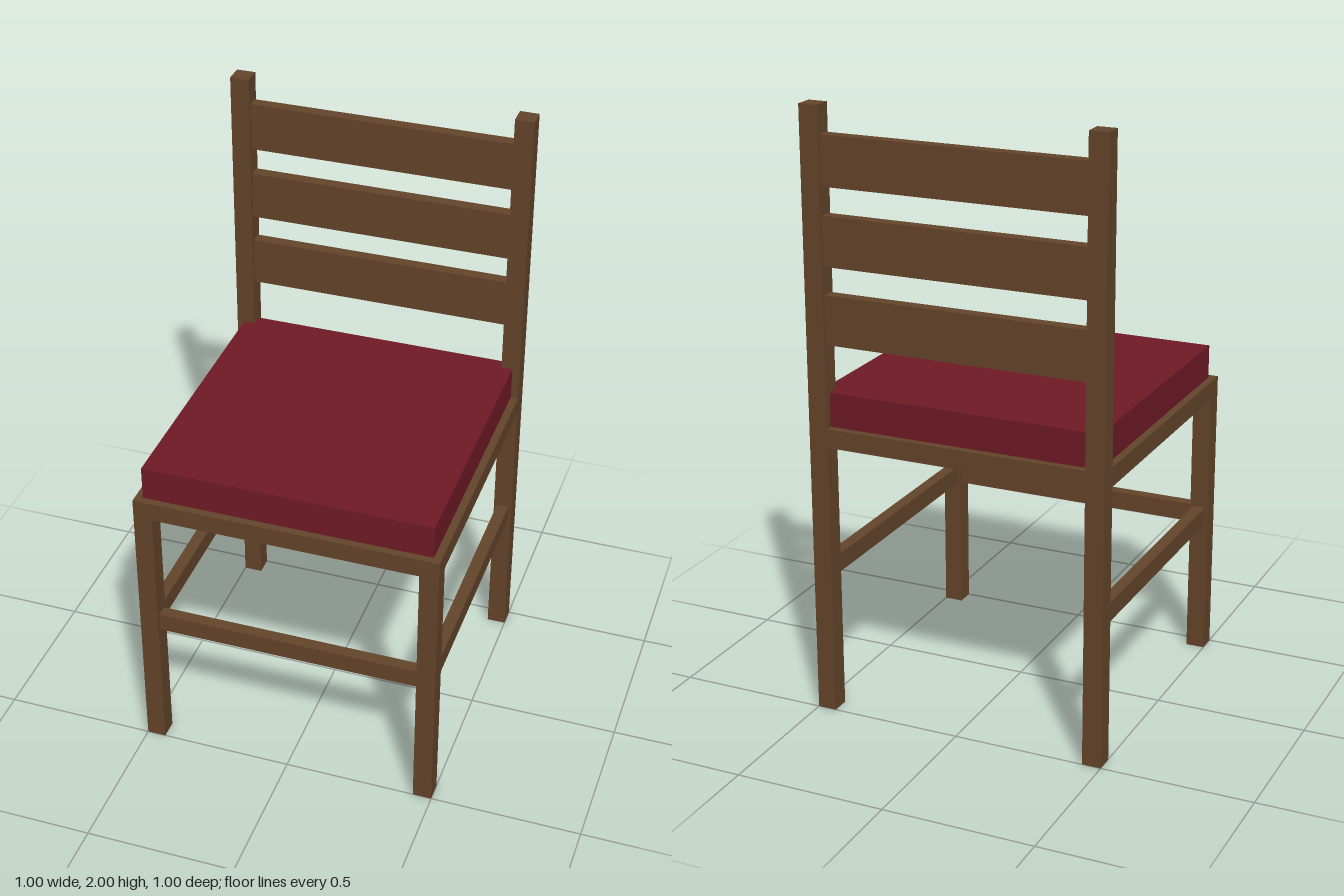
import * as THREE from 'three';

export function createModel() {
  const chair = new THREE.Group();
  chair.name = 'chair';

  const wood = new THREE.MeshStandardMaterial({ color: 0x65452b });
  const fabric = new THREE.MeshStandardMaterial({ color: 0x701a26 });

  const POST = 0.0625;          // square section of legs and posts
  const RAIL = 0.04;            // thickness of slats and stretchers
  const C = 0.5 - POST / 2;     // distance of the leg centres from the middle
  const SPAN = 1 - 2 * POST;    // clear length between legs

  // Box placed by its bottom height
  function addBox(name, w, h, d, x, bottom, z, material = wood) {
    const mesh = new THREE.Mesh(new THREE.BoxGeometry(w, h, d), material);
    mesh.name = name;
    mesh.position.set(x, bottom + h / 2, z);
    chair.add(mesh);
  }

  // Legs, back posts and side stretchers, mirrored left and right
  for (const [side, s] of [['left', 1], ['right', -1]]) {
    addBox(`${side}FrontLeg`, POST, 0.95, POST, s * C, 0, C);
    addBox(`${side}BackPost`, POST, 2, POST, s * C, 0, -C);
    addBox(`${side}Stretcher`, RAIL, POST, SPAN, s * C, 0.46, 0);
  }
  addBox('frontStretcher', SPAN, POST, RAIL, 0, 0.46, C);

  // Seat board and cushion
  addBox('seat', 1, POST, 1, 0, 0.915, 0);
  addBox('cushion', 0.95, 0.1125, 0.95, 0, 0.9775, 0, fabric);

  // Ladder back
  for (let i = 0; i < 3; i++) {
    addBox(`backSlat${i + 1}`, SPAN, 0.16, RAIL, 0, 1.25 + i * 0.25, -C);
  }

  return chair;
}
